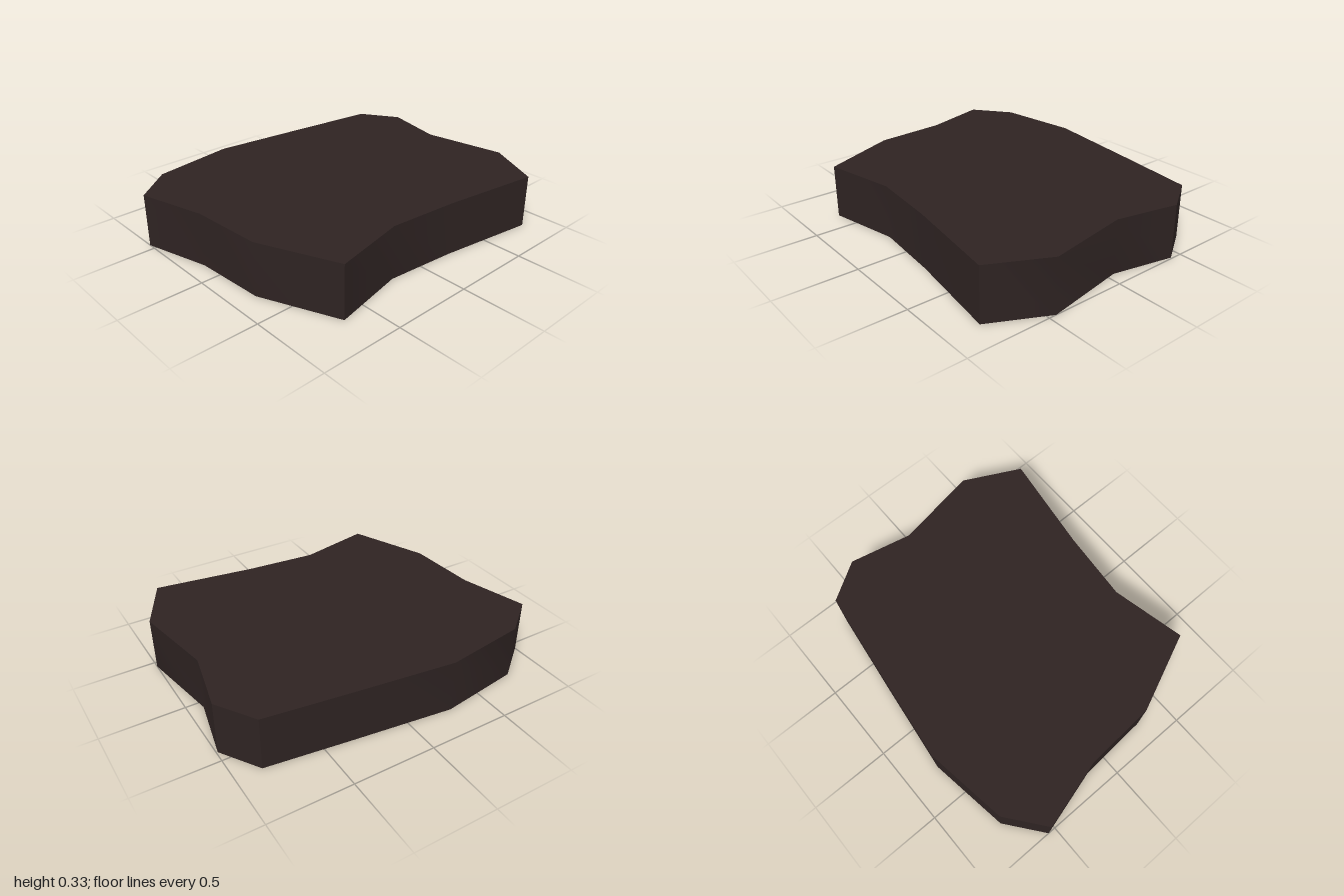
import * as THREE from 'three';
import { toCreasedNormals } from 'three/addons/utils/BufferGeometryUtils.js';

// Slab outline as [x, z], seen from above
const OUTLINE = [
  [-0.66, 0.77], [-0.21, 0.672], [0.22, 0.71], [0.827, 0.797],
  [1.0, 0.455], [0.91, -0.05], [0.992, -0.43], [0.845, -0.66],
  [0.34, -0.725], [-0.275, -0.8], [-0.775, -0.725], [-1.0, -0.547],
  [-0.888, -0.14], [-0.86, 0.3],
];
const HEIGHT = 0.33;

export function createModel() {
  const group = new THREE.Group();
  group.name = 'stoneSlab';

  const darkStone = new THREE.MeshStandardMaterial({ color: 0x2e2322 });
  darkStone.name = 'darkStone';

  // Extrude the outline upwards; gentle bends are smooth, corners stay sharp
  const shape = new THREE.Shape(OUTLINE.map(([x, z]) => new THREE.Vector2(x, -z)));
  const extruded = new THREE.ExtrudeGeometry(shape, { depth: HEIGHT, bevelEnabled: false });
  extruded.rotateX(-Math.PI / 2);
  const slab = new THREE.Mesh(toCreasedNormals(extruded, THREE.MathUtils.degToRad(40)), darkStone);
  slab.geometry.clearGroups();
  slab.name = 'slab';
  group.add(slab);

  return group;
}
